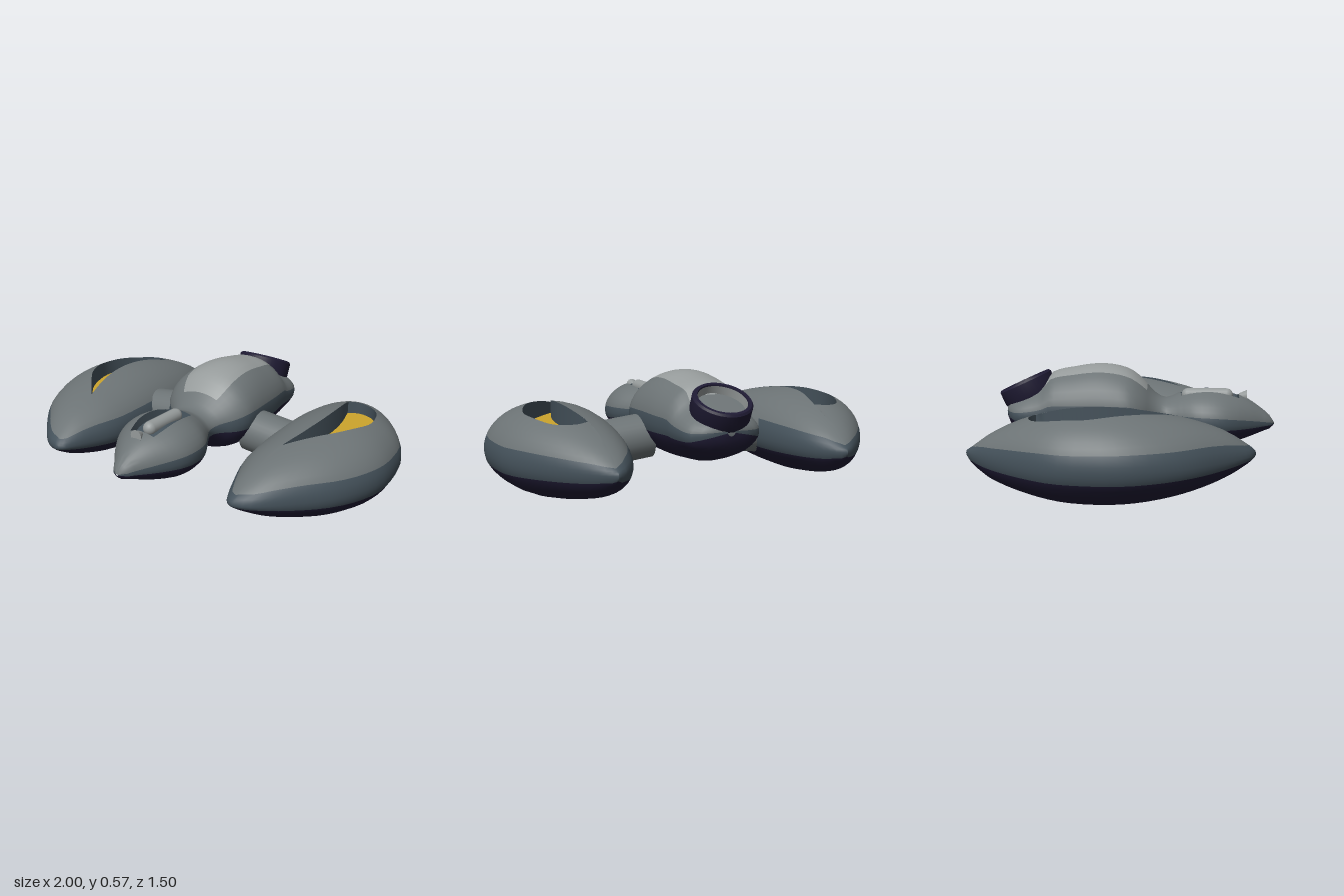
import * as THREE from 'three';
import { toCreasedNormals } from 'three/addons/utils/BufferGeometryUtils.js';

const mat = (name, color) => new THREE.MeshStandardMaterial({ name, color });
const grey = mat('hull grey', 0x6c7375);
const light = mat('light grey', 0x969b9b);
const slate = mat('slate blue', 0x44515a);
const navy = mat('dark navy', 0x1f1b34);
const gold = mat('gold', 0xcda52c);
const palette = [grey, light, slate, navy, gold];
const GREY = 0, LIGHT = 1, SLATE = 2, NAVY = 3, GOLD = 4;

const V = (x, y, z) => new THREE.Vector3(x, y, z);

function named(name, geometry, material) {
  const mesh = new THREE.Mesh(geometry, material);
  mesh.name = name;
  return mesh;
}

// Smooth interpolation of station rows [z, a, b, ...] at z
function sample(table, z) {
  let i = 0;
  while (i < table.length - 2 && z > table[i + 1][0]) i++;
  const p = table[i], q = table[i + 1], h = q[0] - p[0];
  const o = table[Math.max(0, i - 1)], r = table[Math.min(table.length - 1, i + 2)];
  const t = THREE.MathUtils.clamp((z - p[0]) / h, 0, 1), t2 = t * t, t3 = t2 * t;
  return p.slice(1).map((a, k) => {
    const b = q[k + 1];
    const m0 = (b - o[k + 1]) / (q[0] - o[0]) * h, m1 = (r[k + 1] - a) / (r[0] - p[0]) * h;
    return a * (2 * t3 - 3 * t2 + 1) + m0 * (t3 - 2 * t2 + t) + b * (3 * t2 - 2 * t3) + m1 * (t3 - t2);
  });
}

// Skin over rows of points (closed around each row); paint(row, column) picks the colour
function skin(rows, paint, flip = false) {
  const n = rows[0].length, faces = palette.map(() => []);
  for (let r = 0; r < rows.length - 1; r++) {
    for (let i = 0; i < n; i++) {
      const j = (i + 1) % n;
      const a = r * n + i, b = r * n + j, c = a + n, d = b + n;
      faces[paint(r, i)].push(...(flip ? [a, d, b, a, c, d] : [a, b, d, a, d, c]));
    }
  }
  const g = new THREE.BufferGeometry().setFromPoints(rows.flat());
  g.setIndex(faces.flat());
  let start = 0;
  faces.forEach((f, k) => {
    if (f.length) g.addGroup(start, f.length, k);
    start += f.length;
  });
  return toCreasedNormals(g, 0.8);
}

// Fuselage and head: [z, half width, top, widest height, bottom]
const hullStations = [
  [-0.66, 0.02, 0.35, 0.33, 0.31], [-0.645, 0.11, 0.37, 0.32, 0.26], [-0.6, 0.18, 0.395, 0.31, 0.21],
  [-0.55, 0.2, 0.42, 0.31, 0.185], [-0.46, 0.215, 0.465, 0.32, 0.155], [-0.42, 0.222, 0.52, 0.33, 0.147],
  [-0.3, 0.24, 0.55, 0.33, 0.135], [-0.18, 0.25, 0.566, 0.33, 0.13], [-0.08, 0.255, 0.558, 0.33, 0.13],
  [0, 0.25, 0.53, 0.33, 0.135], [0.06, 0.215, 0.48, 0.32, 0.155], [0.12, 0.155, 0.415, 0.31, 0.19],
  [0.18, 0.135, 0.388, 0.3, 0.21], [0.25, 0.17, 0.415, 0.29, 0.18], [0.33, 0.213, 0.437, 0.285, 0.15],
  [0.42, 0.222, 0.442, 0.28, 0.138], [0.5, 0.203, 0.426, 0.275, 0.15], [0.6, 0.138, 0.387, 0.265, 0.18],
  [0.69, 0.065, 0.325, 0.257, 0.215], [0.73, 0.035, 0.287, 0.255, 0.23], [0.745, 0.005, 0.258, 0.255, 0.25],
];

function hull() {
  const half = [0, 8, 16, 23, 24.5, 32, 41, 50, 60, 70, 80, 92, 104, 116, 128, 140, 152, 166];
  const angles = [...half, 180, ...half.slice(1).reverse().map((a) => 360 - a)];
  const fold = (a) => Math.min(a, 360 - a);
  const zs = [-0.655, -0.65, 0.08, 0.254, 0.26, 0.55, 0.556, 0.74, 0.745];
  for (let k = 0; k <= 46; k++) zs.push(-0.66 + k * 0.03);
  zs.sort((a, b) => a - b);
  const rows = zs.map((z) => {
    const [w, top, mid, bottom] = sample(hullStations, z);
    return angles.map((deg) => {
      const a = THREE.MathUtils.degToRad(deg), c = Math.cos(a);
      // Sunken slot on top of the head
      const sunk = fold(deg) < 23.5 && z > 0.257 && z < 0.553 ? 0.04 : 0;
      return V(-w * Math.sin(a), mid + c * (c > 0 ? top - mid : mid - bottom) - sunk, z);
    });
  });
  return skin(rows, (r, i) => {
    const z = (zs[r] + zs[r + 1]) / 2;
    const a = fold((angles[i] + (angles[i + 1] ?? 360)) / 2);
    if (a < 24.5 && z > 0.25 && z < 0.556) return SLATE;
    if (a < 32 && z > -0.5 && z < 0.08) return LIGHT;
    if (a > 152 && z > 0.32 && z < 0.6) return SLATE;
    return a < 80 ? GREY : a < 104 ? SLATE : NAVY;
  });
}

// Side pod: [z, inner x, outer x, top, bottom]
const podStations = [
  [-0.75, 0.58, 0.585, 0.21, 0.19], [-0.72, 0.54, 0.63, 0.23, 0.15], [-0.62, 0.47, 0.74, 0.3, 0.085],
  [-0.47, 0.42, 0.865, 0.37, 0.04], [-0.3, 0.392, 0.965, 0.415, 0.01], [-0.15, 0.382, 0.995, 0.43, 0],
  [0, 0.378, 1, 0.425, 0.004], [0.15, 0.38, 0.963, 0.403, 0.022], [0.3, 0.395, 0.885, 0.37, 0.054],
  [0.45, 0.445, 0.755, 0.315, 0.103], [0.55, 0.485, 0.65, 0.253, 0.155], [0.585, 0.505, 0.595, 0.225, 0.178],
  [0.6, 0.53, 0.54, 0.21, 0.19],
];
const curve = (pts) => new THREE.CatmullRomCurve3(pts.map(([x, z]) => V(x, 0, z)), false, 'centripetal');
const slotOuter = curve([[0.59, 0.26], [0.69, 0.15], [0.78, 0.03], [0.84, -0.14], [0.83, -0.25],
  [0.78, -0.37], [0.73, -0.42], [0.66, -0.44], [0.605, -0.415]]);
const slotInner = curve([[0.59, 0.26], [0.625, 0.14], [0.65, 0], [0.655, -0.12], [0.64, -0.27], [0.605, -0.415]]);

function pod(side) {
  const N = 32, floorY = 0.32, mid = 0.2;
  const edge = [], slot = [], keel = [];
  for (let i = 0; i < 2 * N; i++) {
    const outer = i <= N, t = outer ? i / N : 2 - i / N;
    const z = -0.075 + 0.675 * Math.cos(t * Math.PI);
    const [a, b] = sample(podStations, z);
    edge.push(V(outer ? b : a, 0, z));
    slot.push((outer ? slotOuter : slotInner).getPointAt(t));
    const kz = z * 0.75, [ka, kb] = sample(podStations, kz);
    keel.push(V((ka + kb) / 2, 0, kz));
  }
  const onShell = (p, up) => {
    const [a, b, top, bottom] = sample(podStations, p.z);
    const u = Math.min(1, Math.abs((2 * p.x - a - b) / (b - a)));
    return V(side * p.x, mid + (up ? top - mid : bottom - mid) * Math.sqrt(1 - u * u), p.z);
  };
  const blend = (target, t, up) => edge.map((p, i) => onShell(p.clone().lerp(target[i], t), up));
  const below = [1, 0.75, 0.55, 0.35, 0.2, 0.1, 0.045, 0.02, 0.006];
  const above = [0, 0.01, 0.035, 0.09, 0.18, 0.3, 0.45, 0.6, 0.8, 1];
  const floor = slot.map((p) => V(side * p.x, floorY, p.z));
  const spine = floor.map((p, i) => p.clone().lerp(floor[(2 * N - i) % (2 * N)], 0.5));
  const rows = [
    ...below.map((t) => blend(keel, t, false)),
    ...above.map((t) => blend(slot, t, true)),
    floor, spine,
  ];
  const rim = below.length;
  return skin(rows, (r) => {
    if (r < 6) return NAVY;
    if (r < rim + 3) return SLATE;
    if (r < rows.length - 3) return GREY;
    return r === rows.length - 3 ? SLATE : GOLD;
  }, side < 0);
}

const lathe = (pts) => toCreasedNormals(
  new THREE.LatheGeometry(pts.map(([r, y]) => new THREE.Vector2(r, y)), 40), 0.6);

export function createModel() {
  const model = new THREE.Group();
  model.add(named('fuselage', hull(), palette));

  for (const side of [1, -1]) {
    const label = side > 0 ? 'left' : 'right';
    model.add(named(label + 'Pod', pod(side), palette));
    // Strut sloping down to the pod
    const strut = named(label + 'Strut', new THREE.CylinderGeometry(0.115, 0.115, 0.26, 32), grey);
    strut.position.set(side * 0.325, 0.222, -0.113);
    strut.rotation.z = side * (-Math.PI / 2 - 0.11);
    model.add(strut);
  }

  // Tilted exhaust on the tail
  const exhaust = new THREE.Group();
  exhaust.name = 'exhaust';
  exhaust.position.set(0, 0.475, -0.572);
  exhaust.rotation.x = -0.43;
  exhaust.add(named('exhaustRing', lathe([[0.1, -0.1], [0.138, -0.1], [0.146, -0.08], [0.146, -0.01],
    [0.138, 0], [0.122, 0], [0.12, -0.008]]), navy));
  exhaust.add(named('exhaustWall', lathe([[0.12, -0.008], [0.118, -0.05]]), light));
  exhaust.add(named('exhaustFloor', lathe([[0.12, -0.05], [0.001, -0.048]]), grey));
  model.add(exhaust);

  // Rounded bar lying in the head slot, with a small nub ahead of it
  const bar = named('headBar', new THREE.CapsuleGeometry(0.035, 0.2, 6, 20), light);
  bar.rotation.x = Math.PI / 2;
  bar.position.set(0, 0.402, 0.393);
  model.add(bar);
  const nub = named('headNub', new THREE.CylinderGeometry(0.014, 0.032, 0.04, 12), light);
  nub.rotation.x = -Math.PI / 2;
  nub.position.set(0, 0.397, 0.58);
  model.add(nub);

  return model;
}
